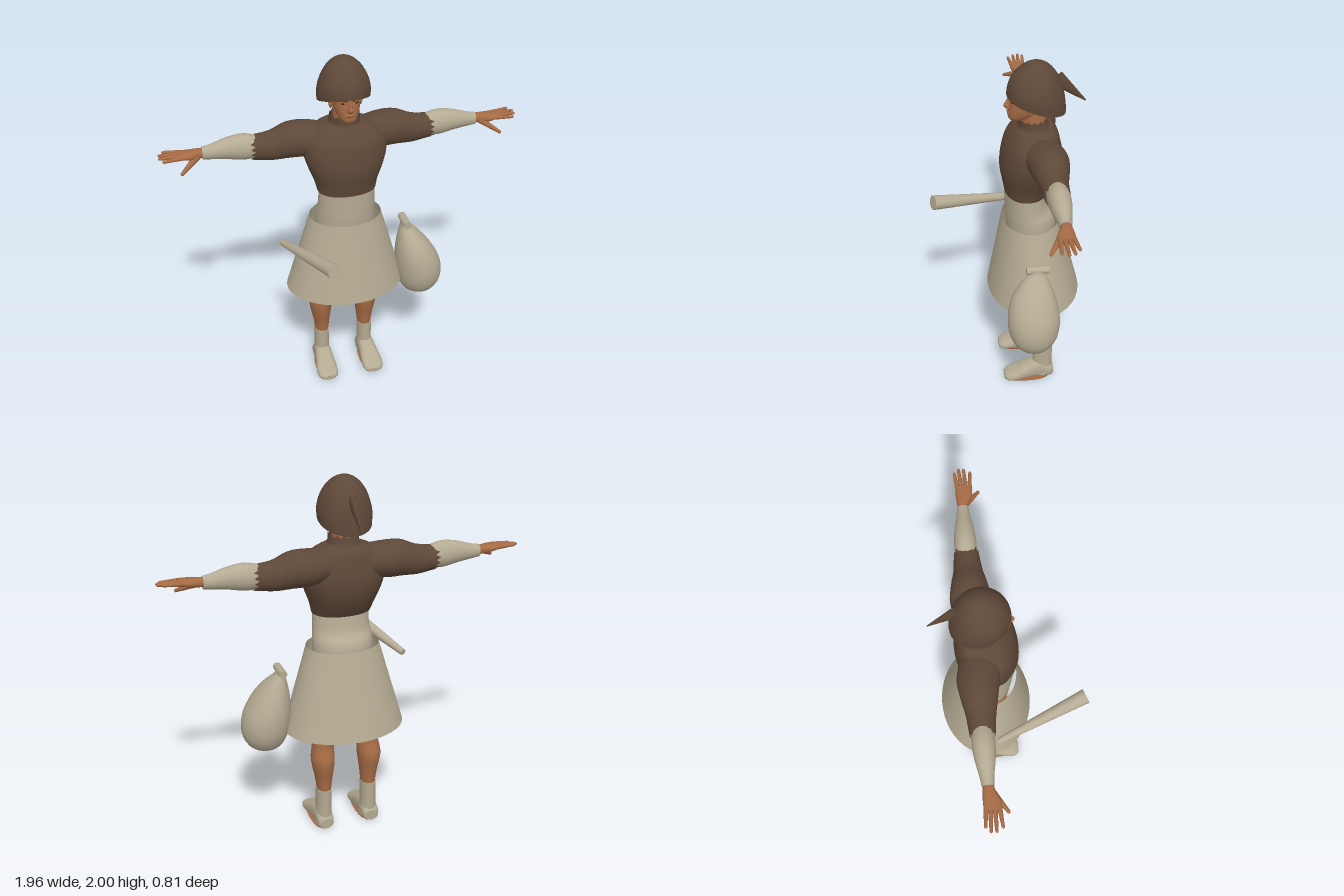
import * as THREE from 'three';

const mat = (name, color, side = THREE.FrontSide) => {
  const m = new THREE.MeshStandardMaterial({ color, side });
  m.name = name;
  return m;
};

// Lofts elliptical rings [y, centreX, centreZ, radiusX, radiusZ], listed from low to high.
function loft(rows, { sides = 28, steps = 4, power = 2, caps = true, jag = 0 } = {}) {
  const curve = new THREE.CubicInterpolant(rows.map((_, i) => i), rows.flat(), 5, new Float32Array(5));
  const rings = (rows.length - 1) * steps;
  const pos = [], idx = [];
  const shape = (v) => Math.sign(v) * Math.pow(Math.abs(v), 2 / power);
  const ring = (j) => {
    const [y, cx, cz, rx, rz] = curve.evaluate(j / steps);
    for (let i = 0; i < sides; i++) {
      const a = (i / sides) * Math.PI * 2;
      const tooth = j === rings ? jag * (i % 2 - 0.5) : 0;
      pos.push(cx + rx * shape(Math.sin(a)), y + tooth, cz + rz * shape(Math.cos(a)));
    }
  };
  for (let j = 0; j <= rings; j++) ring(j);
  for (let j = 0; j < rings; j++) {
    for (let i = 0; i < sides; i++) {
      const a = j * sides + i, b = j * sides + (i + 1) % sides;
      idx.push(a, b, b + sides, a, b + sides, a + sides);
    }
  }
  if (caps) {
    for (const [j, up] of [[0, false], [rings, true]]) {
      const start = pos.length / 3;
      ring(j);
      const [y, cx, cz] = curve.evaluate(j / steps);
      pos.push(cx, y, cz);
      for (let i = 0; i < sides; i++) {
        const a = start + i, b = start + (i + 1) % sides;
        idx.push(start + sides, up ? a : b, up ? b : a);
      }
    }
  }
  const g = new THREE.BufferGeometry();
  g.setAttribute('position', new THREE.Float32BufferAttribute(pos, 3));
  g.setIndex(idx);
  g.computeVertexNormals();
  return g;
}

// Tapered rod between two points.
function rod(a, b, ra, rb, sides = 14) {
  const p = new THREE.Vector3(...a), q = new THREE.Vector3(...b);
  const dir = q.clone().sub(p);
  const g = new THREE.CylinderGeometry(rb, ra, dir.length(), sides);
  g.applyQuaternion(new THREE.Quaternion().setFromUnitVectors(new THREE.Vector3(0, 1, 0), dir.normalize()));
  const c = p.add(q).multiplyScalar(0.5);
  return g.translate(c.x, c.y, c.z);
}

const ball = (x, y, z, rx, ry, rz) =>
  new THREE.SphereGeometry(1, 16, 12).scale(rx, ry, rz).translate(x, y, z);

// Loft along the arm: rows are [x, centreY, centreZ, radiusY, radiusZ].
const armLoft = (s, rows, opts) =>
  loft(rows.map(([x, cy, cz, ry, rz]) => [x, -s * cy, cz, ry, rz]), opts).rotateZ(-s * Math.PI / 2);

export function createModel() {
  const model = new THREE.Group();
  const brown = mat('brown cloth', 0x5e4838, THREE.DoubleSide);
  const linen = mat('beige linen', 0xb5ab93, THREE.DoubleSide);
  const skin = mat('skin', 0xa66b45);
  const dark = mat('dark brow', 0x3a261b);
  const add = (name, geometry, material) => {
    const m = new THREE.Mesh(geometry, material);
    m.name = name;
    model.add(m);
    return m;
  };

  // Tunic and collar
  add('tunic', loft([
    [1.26, 0, -0.097, 0.16, 0.113], [1.32, 0, -0.11, 0.175, 0.137], [1.4, 0, -0.12, 0.205, 0.16],
    [1.48, 0, -0.128, 0.225, 0.16], [1.56, 0, -0.132, 0.215, 0.142], [1.615, 0, -0.142, 0.165, 0.115],
    [1.645, 0, -0.143, 0.1, 0.088],
  ], { sides: 40, power: 2.2 }), brown);
  add('collar', loft([
    [1.62, 0, -0.14, 0.105, 0.092], [1.65, 0, -0.135, 0.085, 0.08], [1.69, 0, -0.13, 0.08, 0.074],
  ], { caps: false, jag: 0.014 }), brown);

  // Waist and skirt
  add('waist', loft([
    [0.98, 0, -0.13, 0.165, 0.13], [1.1, 0, -0.123, 0.165, 0.135], [1.17, 0, -0.1, 0.157, 0.113],
    [1.28, 0, -0.088, 0.153, 0.103],
  ], { sides: 36 }), linen);
  add('skirt', loft([[0.61, 0, -0.145, 0.335, 0.255], [1.08, 0, -0.125, 0.2, 0.155]],
    { sides: 48, caps: false }), linen);

  // Head and neck
  add('neck', loft([[1.6, 0, -0.14, 0.065, 0.065], [1.76, 0, -0.135, 0.058, 0.065]]), skin);
  add('head', loft([
    [1.683, 0, -0.042, 0.026, 0.026], [1.7, 0, -0.062, 0.046, 0.058], [1.74, 0, -0.096, 0.066, 0.092],
    [1.8, 0, -0.118, 0.077, 0.108], [1.87, 0, -0.13, 0.08, 0.112], [1.94, 0, -0.135, 0.05, 0.075],
  ], { power: 2.2 }), skin);
  add('nose', loft([
    [1.75, 0, -0.008, 0.015, 0.018], [1.765, 0, -0.004, 0.015, 0.024], [1.785, 0, -0.01, 0.009, 0.02],
    [1.812, 0, -0.016, 0.007, 0.012],
  ], { sides: 14 }), skin);
  add('lips', ball(0, 1.728, -0.008, 0.024, 0.008, 0.01), skin);
  add('mouthLine', ball(0, 1.729, -0.0015, 0.02, 0.0018, 0.004), dark);
  for (const s of [1, -1]) {
    add('ear', ball(s * 0.079, 1.77, -0.11, 0.011, 0.033, 0.02), skin);
    add('eye', ball(s * 0.034, 1.796, -0.021, 0.013, 0.005, 0.006), dark);
    add('brow', rod([s * 0.014, 1.811, -0.012], [s * 0.052, 1.816, -0.027], 0.005, 0.003, 8), dark);
  }

  // Cap: a dome whose rim slopes down toward the back
  const dome = new THREE.SphereGeometry(1, 36, 14, 0, Math.PI * 2, 0, Math.PI / 2);
  const p = dome.attributes.position;
  for (let i = 0; i < p.count; i++) {
    const [x, y, z] = [p.getX(i), p.getY(i), p.getZ(i)];
    const rim = 1.77 + 0.05 * z;
    const tuck = y < 0.25 ? 1 - 0.05 * (1 - y / 0.25) : 1;
    p.setXYZ(i, 0.146 * x * tuck, rim + (2 - rim) * y, -0.148 + 0.152 * z);
  }
  dome.computeVertexNormals();
  add('cap', dome, brown);
  const tail = rod([0, 1.9, -0.25], [0, 1.765, -0.402], 0.042, 0.004).scale(0.5, 1, 1);
  add('capTail', tail, brown);

  for (const s of [1, -1]) {
    // Arms
    add('sleeve', armLoft(s, [
      [0.05, 1.545, -0.15, 0.07, 0.1], [0.2, 1.545, -0.178, 0.095, 0.108], [0.3, 1.543, -0.182, 0.096, 0.094],
      [0.39, 1.524, -0.182, 0.08, 0.075], [0.49, 1.525, -0.183, 0.066, 0.064],
    ], { caps: false, jag: 0.025 }), brown);
    add('forearmWrap', armLoft(s, [
      [0.44, 1.53, -0.183, 0.055, 0.05], [0.53, 1.536, -0.183, 0.072, 0.058], [0.62, 1.539, -0.182, 0.059, 0.051],
      [0.7, 1.532, -0.181, 0.042, 0.036], [0.75, 1.53, -0.18, 0.034, 0.03],
    ]), linen);
    // Hands
    add('palm', armLoft(s, [
      [0.72, 1.532, -0.18, 0.024, 0.024], [0.77, 1.534, -0.177, 0.024, 0.03], [0.82, 1.536, -0.168, 0.021, 0.043],
      [0.87, 1.542, -0.167, 0.013, 0.042],
    ], { sides: 18, power: 2.4 }), skin);
    [[0.945, -0.208], [0.968, -0.184], [0.968, -0.157], [0.95, -0.126]].forEach(([tip, z], k) => {
      const y = 1.548 - k * 0.004;
      add('finger', rod([s * 0.85, 1.54, -0.198 + k * 0.021], [s * tip, y, z], 0.0125, 0.008, 10), skin);
      add('fingertip', ball(s * tip, y, z, 0.01, 0.008, 0.008), skin);
    });
    add('thumb', rod([s * 0.775, 1.525, -0.165], [s * 0.868, 1.472, -0.092], 0.02, 0.009, 10), skin);
    add('thumbTip', ball(s * 0.868, 1.472, -0.092, 0.01, 0.009, 0.009), skin);

    // Legs
    add('leg', loft([
      [0.2, s * 0.131, -0.19, 0.036, 0.05], [0.3, s * 0.131, -0.19, 0.046, 0.058],
      [0.42, s * 0.135, -0.188, 0.064, 0.081], [0.5, s * 0.13, -0.176, 0.06, 0.07],
      [0.58, s * 0.127, -0.17, 0.059, 0.07], [0.75, s * 0.115, -0.16, 0.08, 0.095],
      [1.0, s * 0.085, -0.135, 0.078, 0.115],
    ]), skin);
    // Boots
    add('bootShaft', loft([
      [0.03, s * 0.133, -0.19, 0.05, 0.058], [0.12, s * 0.132, -0.19, 0.043, 0.057],
      [0.245, s * 0.132, -0.19, 0.043, 0.059],
    ], { jag: 0.008 }), linen);
    const foot = [
      [-0.253, 0.134, 0.04, 0.03, 0.03], [-0.235, 0.134, 0.046, 0.046, 0.042], [-0.17, 0.134, 0.066, 0.049, 0.062],
      [-0.1, 0.136, 0.056, 0.054, 0.052], [-0.03, 0.139, 0.037, 0.061, 0.033], [0.015, 0.139, 0.028, 0.054, 0.024],
      [0.034, 0.138, 0.024, 0.032, 0.015],
    ];
    add('bootFoot', loft(foot.map(([z, cx, cy, rx, ry]) => [z, s * cx, -cy, rx, ry]), { power: 2.5 })
      .rotateX(Math.PI / 2), linen);
    add('sole', loft([[0, s * 0.136, -0.108, 0.05, 0.125], [0.008, s * 0.136, -0.108, 0.054, 0.13]],
      { steps: 1, power: 2.3 }), skin);
  }

  // Club and sack
  add('club', rod([-0.365, 0.955, -0.1], [-0.19, 1.065, 0.39], 0.018, 0.041, 20), linen);
  add('sack', loft([
    [0.5, 0.43, -0.09, 0.03, 0.035], [0.53, 0.432, -0.09, 0.09, 0.09], [0.6, 0.432, -0.09, 0.126, 0.129],
    [0.7, 0.422, -0.09, 0.131, 0.14], [0.8, 0.398, -0.09, 0.106, 0.122], [0.88, 0.374, -0.1, 0.068, 0.085],
    [0.94, 0.352, -0.115, 0.03, 0.042], [0.965, 0.347, -0.117, 0.024, 0.035],
  ]), linen);
  add('sackTie', rod([0.347, 0.963, -0.058], [0.347, 0.963, -0.178], 0.022, 0.022), linen);

  return model;
}
